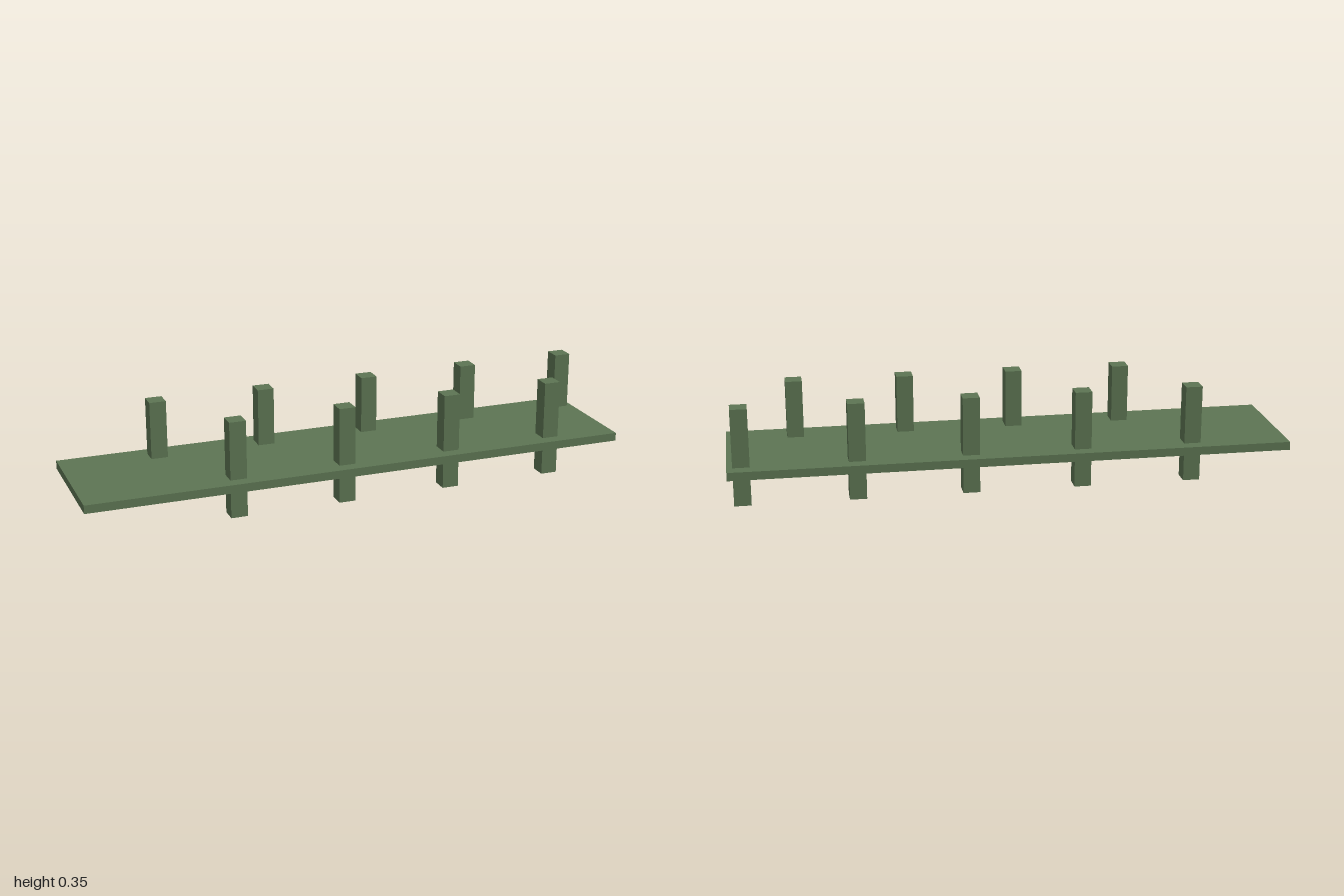
import * as THREE from 'three';

export function createModel() {
  const group = new THREE.Group();
  const material = new THREE.MeshStandardMaterial({ color: 0x5d7553 });

  // Flat deck
  const deck = new THREE.Mesh(new THREE.BoxGeometry(2, 0.03, 0.45), material);
  deck.name = 'deck';
  deck.position.y = 0.125;
  group.add(deck);

  // Square posts through the deck, alternating between back and front edges
  const postGeometry = new THREE.BoxGeometry(0.06, 0.35, 0.06);
  for (let i = 0; i < 9; i++) {
    const isBack = i % 2 === 0;
    const post = new THREE.Mesh(postGeometry, material);
    post.name = isBack ? 'backPost' : 'frontPost';
    post.position.set(-0.65 + i * 0.2, 0.175, isBack ? -0.15 : 0.15);
    group.add(post);
  }
  return group;
}
